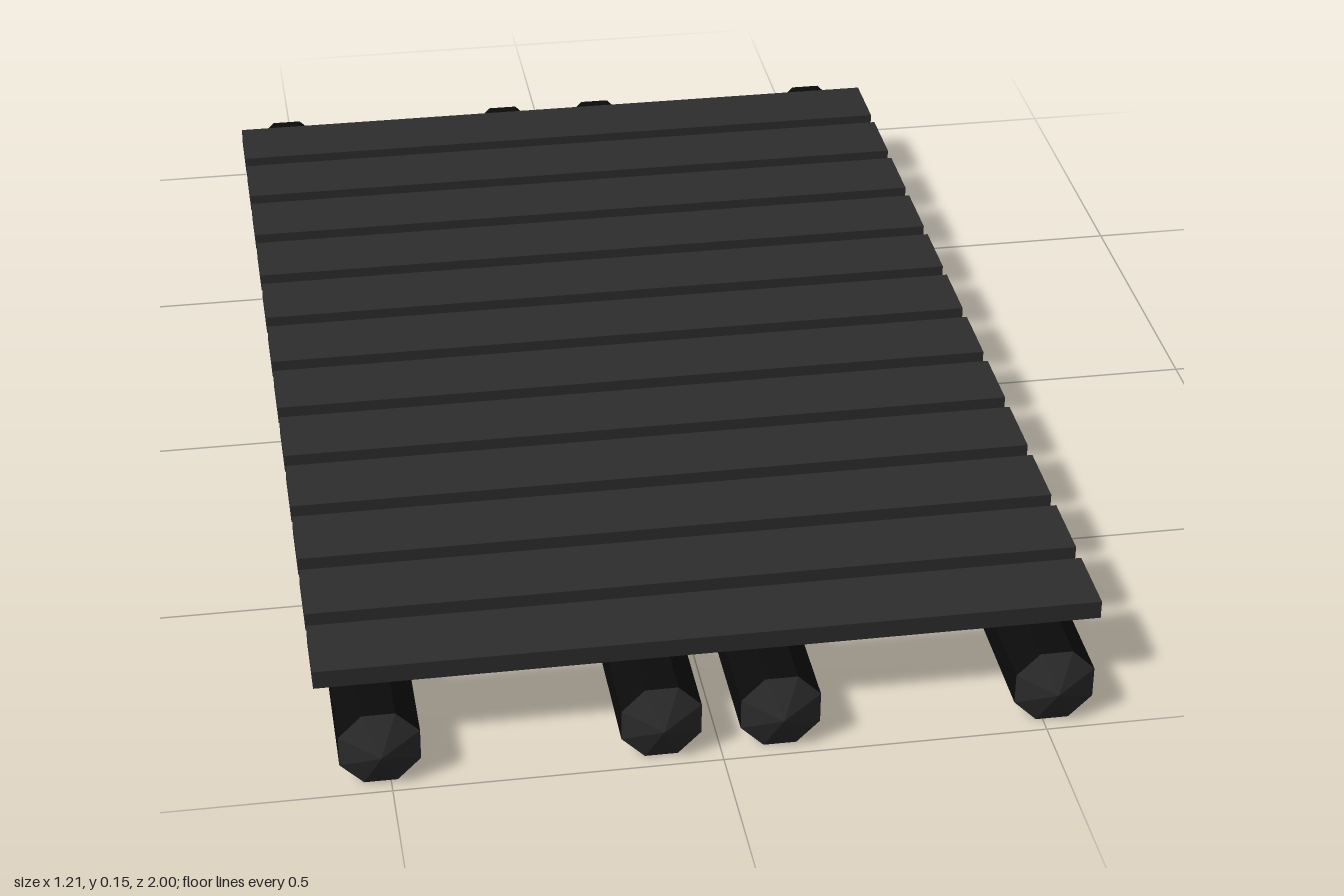
import * as THREE from 'three';

const deckMaterial = new THREE.MeshStandardMaterial({ color: 0x2e2e2e, flatShading: true });
const floatMaterial = new THREE.MeshStandardMaterial({ color: 0x0b0b0b, flatShading: true });

const APOTHEM = 0.061;
const RADIUS = APOTHEM / Math.cos(Math.PI / 8);
const TIP = 0.027;
const BODY = 2 - 2 * TIP;

// Octagonal float lying along z, with a shallow point at each end
function createFloat(x) {
  const float = new THREE.Group();
  float.name = 'float';
  const bodyGeometry = new THREE.CylinderGeometry(RADIUS, RADIUS, BODY, 8, 1, true);
  bodyGeometry.rotateY(Math.PI / 8).rotateX(Math.PI / 2);
  const body = new THREE.Mesh(bodyGeometry, floatMaterial);
  body.name = 'floatBody';
  float.add(body);

  for (const end of [1, -1]) {
    const capGeometry = new THREE.ConeGeometry(RADIUS, TIP, 8, 1, true);
    capGeometry.rotateY(Math.PI / 8).rotateX(end * Math.PI / 2);
    const cap = new THREE.Mesh(capGeometry, deckMaterial);
    cap.name = end > 0 ? 'frontCap' : 'backCap';
    cap.position.z = end * (BODY + TIP) / 2;
    float.add(cap);
  }
  float.position.set(x, APOTHEM, 0);
  return float;
}

export function createModel() {
  const model = new THREE.Group();
  model.name = 'raft';

  // Two outer and two inner floats
  for (const x of [-0.515, -0.091, 0.091, 0.515]) model.add(createFloat(x));

  // Evenly spaced deck planks
  const planks = 12;
  const pitch = 0.1515;
  const plankGeometry = new THREE.BoxGeometry(1.21, 0.03, 0.121);
  for (let i = 0; i < planks; i++) {
    const plank = new THREE.Mesh(plankGeometry, deckMaterial);
    plank.name = 'plank';
    plank.position.set(0, 2 * APOTHEM + 0.015, (i - (planks - 1) / 2) * pitch);
    model.add(plank);
  }
  return model;
}
